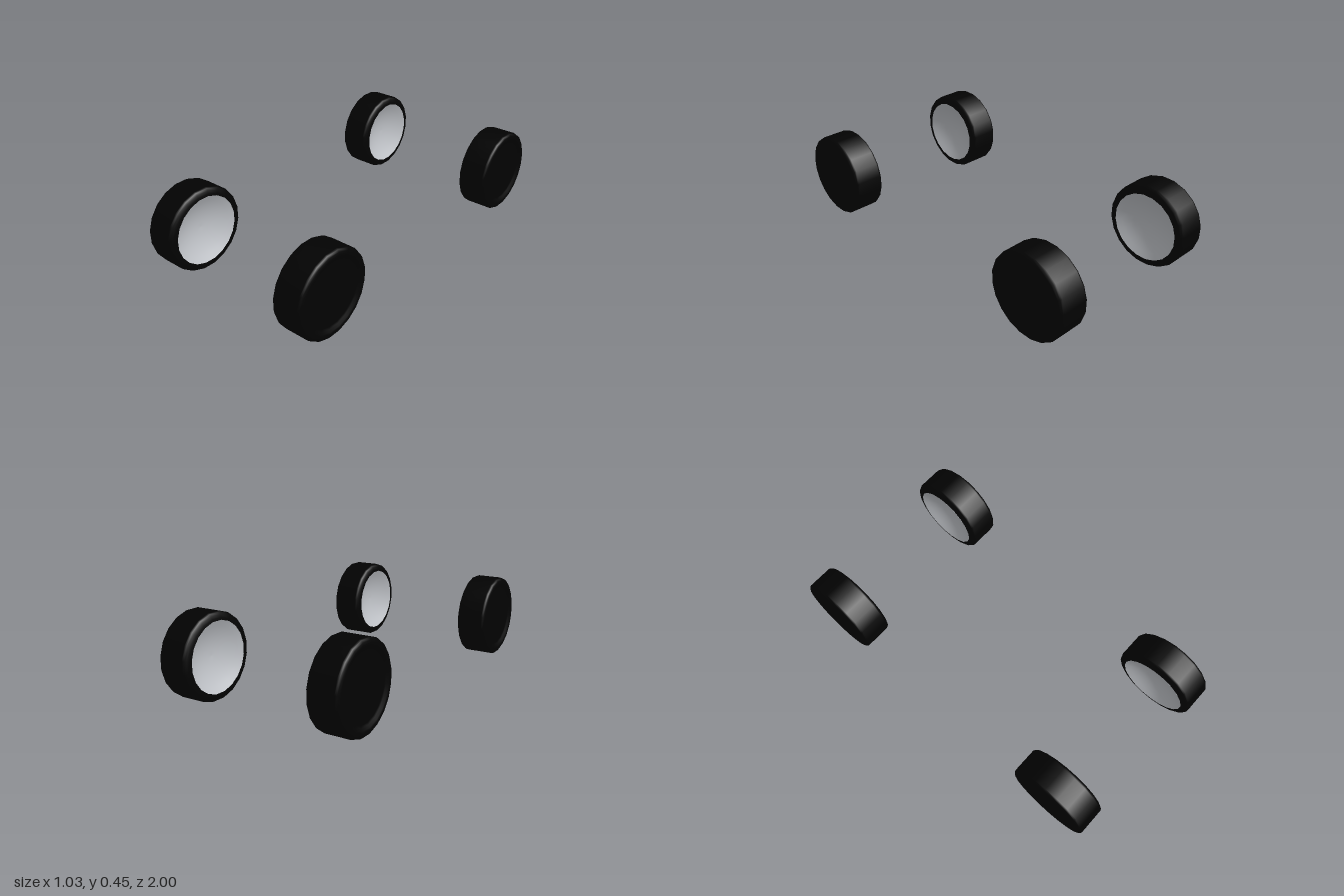
import * as THREE from 'three';

const rubber = new THREE.MeshStandardMaterial({ color: 0x020202 });
rubber.name = 'black rubber';
const metal = new THREE.MeshStandardMaterial({ color: 0xc2c5ca, side: THREE.DoubleSide });
metal.name = 'light grey metal';

const SEGMENTS = 20;
const RADIUS = 0.2265; // from the axle to the middle of a flat side
const HUB_RADIUS = 0.184;
const HUB_DEPTH = 0.05;

// Turned part with flats at top and bottom; profile points are [radius, distance along the axle]
function turned(name, profile, material) {
  const toCorner = 1 / Math.cos(Math.PI / SEGMENTS);
  const points = profile.map(([r, y]) => new THREE.Vector2(r * toCorner, y));
  const geometry = new THREE.LatheGeometry(points, SEGMENTS, Math.PI / SEGMENTS);
  const mesh = new THREE.Mesh(geometry, material);
  mesh.name = name;
  return mesh;
}

// One wheel with its outer face along +y and its hollow hub along -y
function makeWheel(name) {
  const wheel = new THREE.Group();
  wheel.name = name;

  // Tread with rounded shoulders, closed by a shallow dish on the outer face
  wheel.add(turned('tyre', [
    [HUB_RADIUS - 0.002, -0.0855], [0.196, -0.084], [0.211, -0.08], [0.222, -0.074], [RADIUS, -0.064],
    [RADIUS, 0.07], [0.223, 0.08], [0.213, 0.0865], [0.2, 0.0875], [0.188, 0.0865],
    [0.178, 0.078], [0.165, 0.076], [0, 0.076],
  ], rubber));

  // Smoothly hollowed hub on the inner face
  const bowl = [];
  for (let i = 0; i <= 6; i++) {
    const t = i / 6;
    bowl.push([HUB_RADIUS * t, -0.0865 + HUB_DEPTH * (1 - t * t)]);
  }
  wheel.add(turned('hub', bowl, metal));
  return wheel;
}

export function createModel() {
  const model = new THREE.Group();
  model.name = 'wheelSet';

  // The two sides sit slightly staggered along z
  const places = [
    ['frontLeftWheel', 1, 0.771],
    ['backLeftWheel', 1, -0.758],
    ['frontRightWheel', -1, 0.757],
    ['backRightWheel', -1, -0.772],
  ];
  for (const [name, side, z] of places) {
    const wheel = makeWheel(name);
    wheel.rotation.set(0, -0.008, -side * Math.PI / 2);
    wheel.position.set(side * 0.428, RADIUS, z);
    model.add(wheel);
  }
  return model;
}
